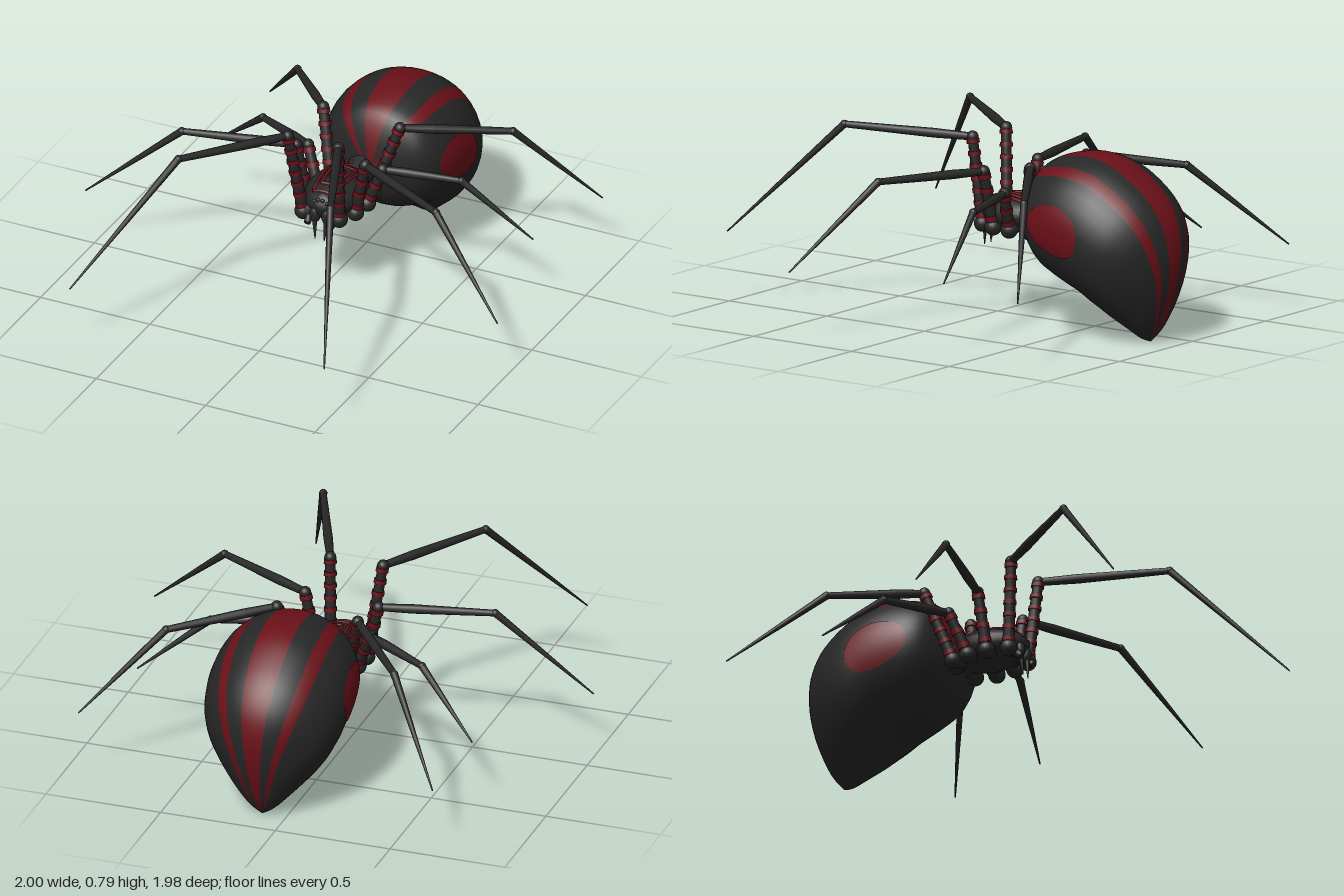
import * as THREE from 'three';

const dark = new THREE.MeshStandardMaterial({ color: 0x262626 });
const red = new THREE.MeshStandardMaterial({ color: 0x6a1018 });
const V = (x, y, z) => new THREE.Vector3(x, y, z);

function add(parent, name, geometry, material) {
  const mesh = new THREE.Mesh(geometry, material);
  mesh.name = name;
  parent.add(mesh);
  return mesh;
}

function ball(parent, name, p, sx, sy = sx, sz = sx, material = dark) {
  const mesh = add(parent, name, new THREE.SphereGeometry(1, 20, 14), material);
  mesh.position.copy(p);
  mesh.scale.set(sx, sy, sz);
  return mesh;
}

// Tapered rod from a to b
function rod(parent, name, a, b, ra, rb, material = dark) {
  const d = b.clone().sub(a);
  const mesh = add(parent, name, new THREE.CylinderGeometry(rb, ra, d.length(), 12), material);
  mesh.position.copy(a).addScaledVector(d, 0.5);
  mesh.quaternion.setFromUnitVectors(V(0, 1, 0), d.normalize());
  return mesh;
}

// Abdomen sections: back z, back y, belly z, belly y, half width
const sections = [
  [-0.31, 0.48, -0.31, 0.44, 0.02], [-0.335, 0.61, -0.335, 0.38, 0.14],
  [-0.38, 0.70, -0.36, 0.32, 0.22], [-0.46, 0.74, -0.42, 0.25, 0.27],
  [-0.58, 0.76, -0.52, 0.20, 0.295], [-0.70, 0.74, -0.60, 0.165, 0.30],
  [-0.80, 0.69, -0.65, 0.135, 0.295], [-0.90, 0.61, -0.69, 0.11, 0.275],
  [-0.965, 0.51, -0.73, 0.08, 0.235], [-0.99, 0.40, -0.765, 0.055, 0.185],
  [-0.985, 0.28, -0.80, 0.03, 0.13], [-0.95, 0.15, -0.825, 0.012, 0.08],
  [-0.91, 0.06, -0.845, 0.004, 0.04], [-0.865, 0, -0.865, 0, 0.001],
];
const last = sections.length - 1;
const backLine = new THREE.CatmullRomCurve3(sections.map(s => V(0, s[1], s[0])));
const bellyLine = new THREE.CatmullRomCurve3(sections.map(s => V(s[4], s[3], s[2])));

function abdomenPoint(t, angle, swell = 1) {
  const a = backLine.getPoint(t / last), b = bellyLine.getPoint(t / last);
  const c = Math.cos(angle) * 0.5 * swell;
  return V(0.105 + b.x * swell * Math.sin(angle),
    (a.y + b.y) / 2 + (a.y - b.y) * c, (a.z + b.z) / 2 + (a.z - b.z) * c);
}

function grid(rows, cols, point, wrap) {
  const positions = [], index = [];
  for (let i = 0; i <= rows; i++)
    for (let j = 0; j < cols; j++) positions.push(...point(i, j).toArray());
  for (let i = 0; i < rows; i++)
    for (let j = 0; j < (wrap ? cols : cols - 1); j++) {
      const k = (j + 1) % cols;
      const a = i * cols + j, b = i * cols + k, c = a + cols, d = b + cols;
      index.push(a, b, c, b, d, c);
    }
  const g = new THREE.BufferGeometry();
  g.setAttribute('position', new THREE.Float32BufferAttribute(positions, 3));
  g.setIndex(index);
  g.computeVertexNormals();
  return g;
}

function buildAbdomen(group) {
  // Angles are chosen so that stripes end on a column
  const half = [0, 0.12, 0.24, 0.35, 0.45, 0.56, 0.66, 0.76];
  for (let i = 1; i <= 14; i++) half.push(0.76 + (Math.PI - 0.76) * i / 14);
  const angles = [...half, ...half.slice(1, -1).reverse().map(a => 2 * Math.PI - a)];
  const n = angles.length;
  const skin = grid(52, n, (i, j) => abdomenPoint(i / 4, angles[j]), true);
  const isRed = j => {
    const m = (angles[j] + (j + 1 < n ? angles[j + 1] : 2 * Math.PI)) / 2;
    const a = Math.min(m, 2 * Math.PI - m);
    return a < 0.24 || (a > 0.56 && a < 0.76);
  };
  const all = Array.from(skin.index.array);
  for (const [name, want, material] of [['abdomen', false, dark], ['abdomenStripes', true, red]]) {
    const g = skin.clone();
    g.setIndex(all.filter((_, k) => isRed(Math.floor(k / 6) % n) === want));
    add(group, name, g, material);
  }
  // Oval patch on each flank
  for (const side of [1, -1]) {
    const oval = grid(24, 13, (i, j) => {
      const s = -Math.cos(Math.PI * i / 24);
      const spread = 0.36 * Math.sqrt(Math.max(0, 1 - s * s)) * (j / 6 - 1);
      return abdomenPoint(4.25 + 1.4 * s, side * (Math.PI / 2 + side * spread), 1.012);
    }, false);
    add(group, 'flankPatch', oval, red);
  }
}

function buildThorax(group) {
  ball(group, 'carapace', V(0.04, 0.44, -0.14), 0.125, 0.08, 0.17);
  ball(group, 'head', V(0.04, 0.435, -0.02), 0.06, 0.06, 0.045);
  rod(group, 'waist', V(0.05, 0.44, -0.24), V(0.07, 0.46, -0.36), 0.05, 0.07);
  // Nested raised lines on the carapace
  for (const s of [1, 0.64, 0.28]) {
    const corners = [[-0.075, -0.125], [0.075, -0.125], [0.048, 0.12], [-0.048, 0.12]];
    const points = [];
    corners.forEach(([x, z], i) => {
      const [nx, nz] = corners[(i + 1) % 4];
      for (let k = 0; k < 6; k++) {
        const px = (x + (nx - x) * k / 6) * s, pz = (z + (nz - z) * k / 6) * s;
        const h = Math.sqrt(Math.max(0, 1 - (px / 0.125) ** 2 - (pz / 0.17) ** 2));
        points.push(V(0.04 + px, 0.44 + 0.08 * h, -0.14 + pz));
      }
    });
    const path = new THREE.CatmullRomCurve3(points, true);
    add(group, 'carapaceLine', new THREE.TubeGeometry(path, 72, 0.007, 6, true), red);
  }
  for (const side of [1, -1]) {
    const x = 0.04 + side * 0.027;
    ball(group, 'jaw', V(x, 0.40, 0.005), 0.024, 0.04, 0.026);
    rod(group, 'fang', V(x, 0.39, 0.012), V(x - side * 0.006, 0.29, 0.02), 0.013, 0.002);
    rod(group, 'feeler', V(x + side * 0.03, 0.39, -0.01), V(x + side * 0.025, 0.36, 0.03), 0.02, 0.014);
    for (const [dx, y] of [[0.008, 0.47], [0.024, 0.46]])
      ball(group, 'eye', V(0.04 + side * dx * 1.2, y, 0.012), 0.009);
  }
}

function buildLeg(group, name, points) {
  const leg = new THREE.Group();
  leg.name = name;
  group.add(leg);
  const [hip, top, knee, tip] = points.map(p => V(...p));
  const root = V(0.04, 0.42, hip.z * 0.85 - 0.02);
  rod(leg, 'hipSegment', root, hip, 0.035, 0.03);
  ball(leg, 'hipJoint', hip, 0.036);
  // Banded upright segment
  rod(leg, 'thigh', hip, top, 0.025, 0.021);
  const bands = Math.round(hip.distanceTo(top) / 0.055);
  for (let i = 0; i < bands; i++) {
    const a = hip.clone().lerp(top, (i + 0.5) / bands), b = hip.clone().lerp(top, (i + 0.85) / bands);
    rod(leg, 'thighBand', a, b, 0.0275, 0.0265, red);
  }
  ball(leg, 'upperJoint', top, 0.025);
  // Long segment, fuller near its root, then the tapering foot
  const full = top.clone().lerp(knee, 0.3);
  rod(leg, 'shin', top, full, 0.016, 0.02);
  rod(leg, 'shin', full, knee, 0.02, 0.014);
  ball(leg, 'kneeJoint', knee, 0.017);
  const mid = knee.clone().lerp(tip, 0.45);
  rod(leg, 'foot', knee, mid, 0.016, 0.011);
  rod(leg, 'foot', mid, tip, 0.011, 0.003);
}

export function createModel() {
  const group = new THREE.Group();
  group.name = 'spider';
  buildAbdomen(group);
  buildThorax(group);
  // Hip, upper joint, knee and tip of every leg
  const legs = {
    leftLeg1: [[0.115, 0.39, -0.01], [0.13, 0.75, 0.03], [0.34, 0.775, 0.53], [0.535, 0.30, 0.985]],
    rightLeg1: [[-0.05, 0.39, -0.01], [-0.10, 0.75, 0.03], [-0.40, 0.775, 0.44], [-0.70, 0.29, 0.84]],
    leftLeg2: [[0.15, 0.39, -0.09], [0.20, 0.63, -0.08], [0.63, 0.63, 0.14], [1.0, 0.29, 0.32]],
    rightLeg2: [[-0.075, 0.39, -0.10], [-0.13, 0.63, -0.11], [-0.60, 0.63, 0], [-1.0, 0.29, 0.08]],
    leftLeg3: [[0.16, 0.39, -0.18], [0.22, 0.555, -0.20], [0.54, 0.54, -0.28], [0.835, 0.30, -0.35]],
    rightLeg3: [[-0.07, 0.39, -0.19], [-0.14, 0.56, -0.24], [-0.42, 0.54, -0.39], [-0.69, 0.30, -0.53]],
    leftLeg4: [[0.14, 0.39, -0.27], [0.23, 0.68, -0.34], [0.62, 0.63, -0.60], [0.93, 0.29, -0.80]],
    rightLeg4: [[-0.05, 0.39, -0.27], [-0.13, 0.68, -0.36], [-0.40, 0.63, -0.67], [-0.68, 0.29, -0.985]],
  };
  for (const [name, points] of Object.entries(legs)) buildLeg(group, name, points);
  return group;
}
